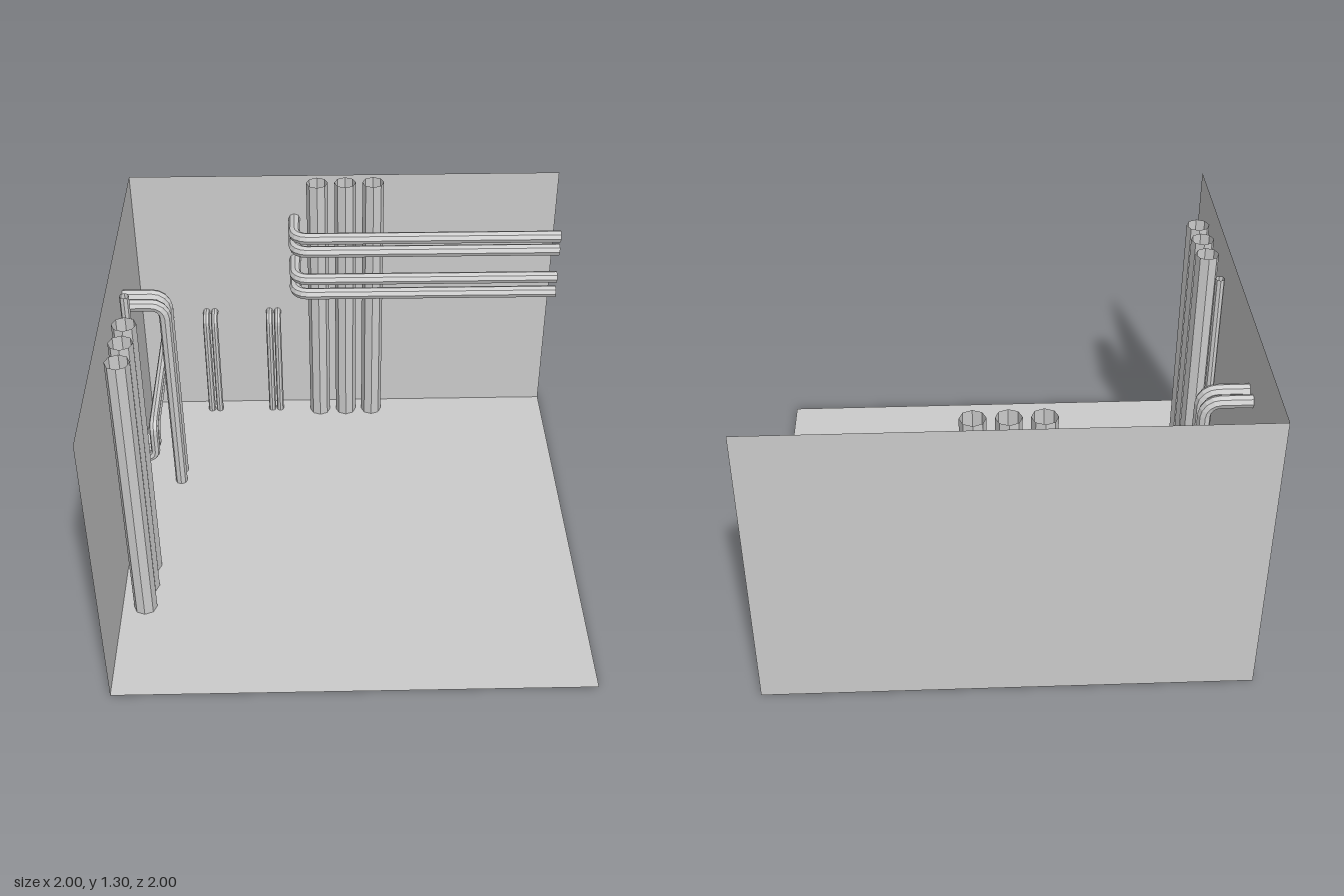
import * as THREE from 'three';

const material = new THREE.MeshStandardMaterial({ color: 0xcccccc, flatShading: true, side: THREE.DoubleSide });
const V = (x, y, z) => new THREE.Vector3(x, y, z);

// Curve that hits each of its points exactly, so tube rings sit only where needed
class PolyPath extends THREE.Curve {
  constructor(points) { super(); this.points = points; }
  getPoint(u, target = new THREE.Vector3()) {
    const f = u * (this.points.length - 1);
    const i = Math.min(Math.floor(f + 1e-6), this.points.length - 2);
    return target.lerpVectors(this.points[i], this.points[i + 1], f - i);
  }
  getPointAt(u, target) { return this.getPoint(u, target); }
  getTangentAt(u, target = new THREE.Vector3()) {
    const p = this.points, i = Math.round(u * (p.length - 1));
    target.set(0, 0, 0);
    if (i > 0) target.add(p[i].clone().sub(p[i - 1]).normalize());
    if (i < p.length - 1) target.add(p[i + 1].clone().sub(p[i]).normalize());
    return target.normalize();
  }
}

// Replace every inner corner by a short rounded elbow
function roundCorners(corners, bend, steps = 4) {
  const out = [corners[0]];
  for (let i = 1; i < corners.length - 1; i++) {
    const c = corners[i];
    const a = corners[i - 1].clone().sub(c).normalize().multiplyScalar(bend).add(c);
    const b = corners[i + 1].clone().sub(c).normalize().multiplyScalar(bend).add(c);
    const centre = a.clone().add(b).sub(c);
    for (let s = 0; s <= steps; s++) {
      const t = (s / steps) * Math.PI / 2;
      out.push(centre.clone()
        .addScaledVector(a.clone().sub(centre), Math.cos(t))
        .addScaledVector(b.clone().sub(centre), Math.sin(t)));
    }
  }
  out.push(corners[corners.length - 1]);
  return out;
}

export function createModel() {
  const model = new THREE.Group();
  model.name = 'pipeRoom';

  const add = (name, geometry) => {
    const mesh = new THREE.Mesh(geometry, material);
    mesh.name = name;
    model.add(mesh);
    return mesh;
  };
  // Open eight-sided pipe along a bent path
  const pipe = (name, radius, bend, corners) => {
    const points = roundCorners(corners, bend);
    add(name, new THREE.TubeGeometry(new PolyPath(points), points.length - 1, radius, 8, false));
  };

  // Floor and two walls
  const height = 1.3;
  add('floor', new THREE.PlaneGeometry(2, 2)).rotation.x = -Math.PI / 2;
  add('backWall', new THREE.PlaneGeometry(2, height)).position.set(0, height / 2, -1);
  const sideWall = add('sideWall', new THREE.PlaneGeometry(2, height));
  sideWall.rotation.y = Math.PI / 2;
  sideWall.position.set(-1, height / 2, 0);

  // Thick floor-to-ceiling pipes, three against each wall
  for (const i of [-1, 0, 1]) {
    const column = new THREE.CylinderGeometry(0.05, 0.05, height, 8, 1, true);
    add('backColumnPipe', column).position.set(i * 0.13, height / 2, -0.925);
    add('sideColumnPipe', column).position.set(-0.9, height / 2, 0.36 + i * 0.13);
  }

  // Four long pipes leaving the back wall and running along it
  for (const y of [1.07, 1.0, 0.85, 0.77]) {
    pipe('longPipe', 0.028, 0.06, [V(-0.24, y, -1), V(-0.24, y, -0.812), V(1, y, -0.808)]);
  }

  // Pair of tall pipes from the side wall to the floor
  for (const z of [-0.365, -0.443]) {
    pipe('tallElbowPipe', 0.028, 0.06, [V(-1, 1.005, z), V(-0.81, 1.005, z), V(-0.803, 0, z)]);
  }

  // Two pairs of short pipes from the back wall to the floor
  for (const x of [-0.685, -0.645, -0.375, -0.335]) {
    pipe('shortElbowPipe', 0.017, 0.04, [V(x, 0.555, -1), V(x, 0.555, -0.932), V(x, 0, -0.932)]);
  }

  // Pair of pipes from the back wall that step down and enter the side wall
  for (const [y, z] of [[0.57, -0.06], [0.522, -0.125]]) {
    pipe('steppedPipe', 0.02, 0.04,
      [V(-0.868, y, -1), V(-0.868, y, z), V(-0.868, 0.392, z), V(-1, 0.392, z)]);
  }

  // Thin pipe coming down from the ceiling and turning into the side wall
  pipe('dropPipe', 0.02, 0.04,
    [V(-0.92, height, 0.022), V(-0.92, 0.492, 0.015), V(-0.92, 0.492, -0.155), V(-1, 0.492, -0.155)]);

  return model;
}
